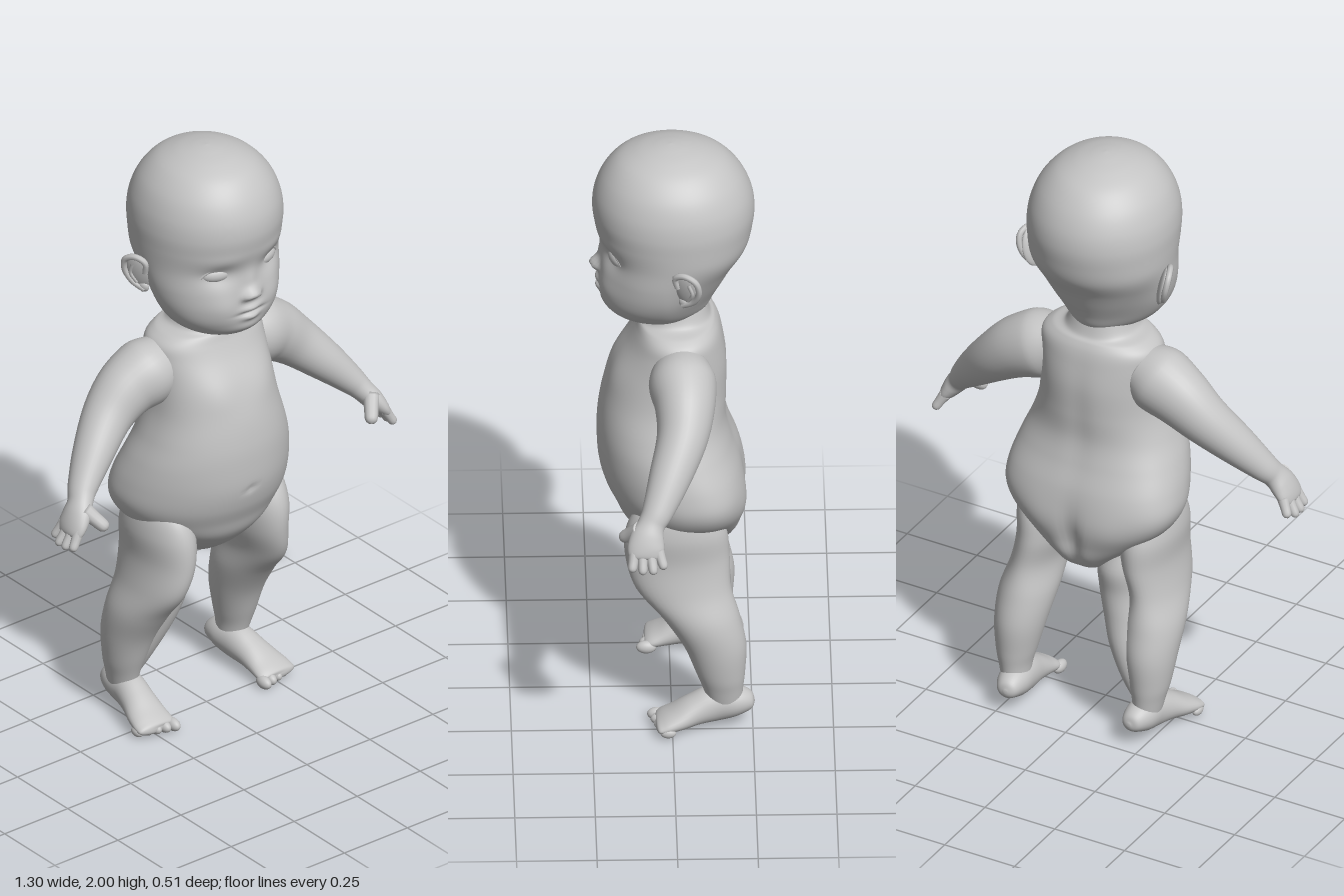
import * as THREE from 'three';

const skin = new THREE.MeshStandardMaterial({ color: 0xc4c4c4 });
skin.name = 'plain grey';
const Y = new THREE.Vector3(0, 1, 0), Z = new THREE.Vector3(0, 0, 1);
const { smoothstep } = THREE.MathUtils;

// Smooth value between rows i and i+1 of a section list
function spline(rows, i, t, k) {
  const at = (j) => rows[Math.min(Math.max(j, 0), rows.length - 1)][k];
  const a = at(i - 1), b = at(i), c = at(i + 1), d = at(i + 2);
  return b + 0.5 * t * (c - a + t * (2 * a - 5 * b + 4 * c - d + t * (3 * (b - c) + d - a)));
}

// Loft through sections [x, y, z, side radius, radius along ref]; rings face axis, or follow the path
function loft(name, rows, { axis = null, ref = Z, n = 2, segs = 32, steps = 6, sculpt = null } = {}) {
  const pos = [], idx = [], rings = [];
  for (let i = 0; i < rows.length - 1; i++)
    for (let s = 0; s < steps; s++) rings.push([0, 1, 2, 3, 4].map((k) => spline(rows, i, s / steps, k)));
  rings.push(rows[rows.length - 1]);
  const centre = (r) => new THREE.Vector3(r[0], r[1], r[2]);
  const power = (c) => Math.sign(c) * Math.abs(c) ** (2 / n);
  const addPoint = (p) => { if (sculpt) sculpt(p); pos.push(p.x, p.y, p.z); };
  rings.forEach((r, i) => {
    const t = axis ? axis.clone() : centre(rings[Math.min(i + 1, rings.length - 1)])
      .sub(centre(rings[Math.max(i - 1, 0)])).normalize();
    const v = ref.clone().addScaledVector(t, -ref.dot(t)).normalize();
    const u = v.clone().cross(t);
    for (let j = 0; j < segs; j++) {
      const a = (j / segs) * Math.PI * 2;
      addPoint(centre(r).addScaledVector(u, power(Math.cos(a)) * Math.max(r[3], 0.001))
        .addScaledVector(v, power(Math.sin(a)) * Math.max(r[4], 0.001)));
    }
    if (i > 0) for (let j = 0; j < segs; j++) {
      const a = (i - 1) * segs + j, b = (i - 1) * segs + (j + 1) % segs;
      idx.push(a, b, b + segs, a, b + segs, a + segs);
    }
  });
  // End caps
  const first = pos.length / 3, last = (rings.length - 1) * segs;
  addPoint(centre(rings[0]));
  addPoint(centre(rings[rings.length - 1]));
  for (let j = 0; j < segs; j++) {
    const k = (j + 1) % segs;
    idx.push(first, k, j, first + 1, last + j, last + k);
  }
  const g = new THREE.BufferGeometry();
  g.setAttribute('position', new THREE.Float32BufferAttribute(pos, 3));
  g.setIndex(idx);
  g.computeVertexNormals();
  return mesh(name, g);
}

function mesh(name, geometry) {
  const m = new THREE.Mesh(geometry, skin);
  m.name = name;
  return m;
}

function ellipsoid(name, p, r) {
  const m = mesh(name, new THREE.SphereGeometry(1, 24, 16));
  m.position.set(...p);
  m.scale.set(...r);
  return m;
}

function tube(name, points, radius) {
  const curve = new THREE.CatmullRomCurve3(points.map((p) => new THREE.Vector3(...p)));
  return mesh(name, new THREE.TubeGeometry(curve, 32, radius, 8));
}

// Soft dents and bumps [x, y, width, height, amount] pushed along z on one side of a form
const bumps = (list, dir) => (p) => {
  const w = smoothstep(p.z * dir, 0.03, 0.12);
  let d = 0;
  for (const [x, y, sx, sy, a] of list) d += a * Math.exp(-(((p.x - x) / sx) ** 2) - ((p.y - y) / sy) ** 2);
  p.z += dir * d * w;
};
const both = (x, ...rest) => [[x, ...rest], [-x, ...rest]];
const flip = (rows, s) => rows.map(([x, ...rest]) => [x * s, ...rest]);

function makeHead() {
  const head = new THREE.Group();
  head.name = 'head';
  const face = bumps([
    [0, 1.57, 0.026, 0.02, 0.03], [0, 1.61, 0.024, 0.04, 0.008], ...both(0.024, 1.562, 0.013, 0.012, 0.012),
    [0, 1.517, 0.036, 0.012, 0.014], [0, 1.502, 0.045, 0.005, -0.009], [0, 1.487, 0.03, 0.012, 0.014],
    [0, 1.445, 0.05, 0.02, 0.006], ...both(0.1, 1.53, 0.06, 0.06, 0.014),
    ...both(0.1, 1.645, 0.05, 0.032, -0.016), ...both(0.1, 1.7, 0.07, 0.025, 0.003),
  ], 1);
  // The nape is narrower than the cheeks
  const nape = (p) => { p.x *= 1 - 0.2 * smoothstep(-p.z, -0.03, 0.12) * (1 - smoothstep(p.y, 1.42, 1.68)); };
  head.add(loft('skull', [
    [0, 1.395, -0.02, 0.07, 0.08], [0, 1.405, 0.03, 0.11, 0.13], [0, 1.43, 0.04, 0.148, 0.16],
    [0, 1.47, 0.04, 0.182, 0.178], [0, 1.52, 0.028, 0.207, 0.192], [0, 1.58, 0.012, 0.222, 0.207],
    [0, 1.65, -0.01, 0.23, 0.228], [0, 1.72, -0.01, 0.235, 0.245], [0, 1.78, -0.008, 0.236, 0.252],
    [0, 1.84, -0.006, 0.226, 0.243], [0, 1.9, -0.004, 0.2, 0.215], [0, 1.95, -0.002, 0.155, 0.17],
    [0, 1.98, 0, 0.1, 0.11], [0, 1.995, 0, 0.045, 0.05], [0, 2, 0, 0.002, 0.002],
  ], { axis: Y, n: 2.04, segs: 128, steps: 10, sculpt: (p) => { face(p); nape(p); } }));
  for (const s of [1, -1]) {
    const eye = ellipsoid('eye', [s * 0.1, 1.645, 0.169], [0.047, 0.025, 0.022]);
    eye.rotation.y = s * 0.4;
    const lid = tube('eyelid', [[0.052, 1.648, 0.194], [0.075, 1.667, 0.191], [0.102, 1.673, 0.182],
      [0.128, 1.664, 0.17], [0.148, 1.642, 0.155]].map(([x, y, z]) => [s * x, y, z]), 0.006);
    // Ear: shallow dish with a rolled rim and an inner fold
    const ear = new THREE.Group();
    ear.name = 'ear';
    ear.position.set(s * 0.236, 1.605, -0.045);
    ear.rotation.set(0, -s * 0.45, -s * 0.22);
    ear.add(ellipsoid('earDish', [-s * 0.005, 0, 0], [0.014, 0.066, 0.042]));
    ear.add(tube('earRim', [[0, -0.062, 0.018], [0, -0.036, -0.022], [0, 0.01, -0.044], [0, 0.05, -0.036],
      [0, 0.066, 0], [0, 0.05, 0.032], [0, 0.01, 0.028]].map(([, y, z]) => [s * 0.004, y, z]), 0.01));
    ear.add(ellipsoid('earLobe', [0, -0.054, 0.014], [0.011, 0.019, 0.018]));
    ear.add(tube('earFold', [[s * 0.006, -0.035, -0.005], [s * 0.008, 0, -0.022], [s * 0.006, 0.035, -0.012]], 0.006));
    head.add(eye, lid, ear);
  }
  return head;
}

function makeTorso() {
  const front = bumps([[0, 0.865, 0.014, 0.012, -0.008], ...both(0.09, 1.2, 0.07, 0.06, 0.008)], 1);
  const back = bumps([[0, 0.68, 0.03, 0.1, -0.02], ...both(0.12, 0.74, 0.08, 0.09, 0.008),
    [0, 1.1, 0.04, 0.2, -0.005]], -1);
  // The hips are widest towards the back, leaving a rounded belly
  const hips = (p) => { p.z -= 0.05 * (p.x / 0.29) ** 2 * Math.exp(-(((p.y - 0.82) / 0.2) ** 2)); };
  return loft('torso', [
    [0, 0.545, -0.06, 0.03, 0.03], [0, 0.57, -0.07, 0.08, 0.1], [0, 0.62, -0.055, 0.135, 0.155],
    [0, 0.68, -0.035, 0.21, 0.188], [0, 0.74, -0.025, 0.268, 0.205], [0, 0.8, -0.01, 0.295, 0.217],
    [0, 0.87, 0.005, 0.291, 0.22], [0, 0.95, 0.02, 0.27, 0.21], [0, 1.03, 0.027, 0.24, 0.2],
    [0, 1.12, 0.018, 0.213, 0.193], [0, 1.22, 0, 0.204, 0.175], [0, 1.3, -0.015, 0.203, 0.148],
    [0, 1.345, -0.02, 0.197, 0.132], [0, 1.372, -0.018, 0.165, 0.12], [0, 1.388, -0.015, 0.12, 0.108],
    [0, 1.43, -0.01, 0.102, 0.1],
  ], { axis: Y, n: 2.2, segs: 96, steps: 8, sculpt: (p) => { front(p); back(p); hips(p); } });
}

function makeArm(s) {
  const arm = new THREE.Group();
  arm.name = s > 0 ? 'leftArm' : 'rightArm';
  arm.add(loft('armAndPalm', flip([
    [0.15, 1.275, -0.03, 0.085, 0.085], [0.21, 1.25, -0.032, 0.11, 0.105], [0.29, 1.213, -0.038, 0.1, 0.094],
    [0.37, 1.15, -0.028, 0.082, 0.08], [0.46, 1.063, 0.012, 0.064, 0.066], [0.53, 0.988, 0.05, 0.046, 0.05],
    [0.558, 0.953, 0.072, 0.037, 0.043], [0.582, 0.922, 0.085, 0.034, 0.053], [0.604, 0.89, 0.09, 0.027, 0.057],
    [0.618, 0.868, 0.09, 0.017, 0.047], [0.622, 0.862, 0.09, 0.004, 0.02],
  ], s)));
  // Four spread fingers and a thumb
  const digit = (name, a, b, r) => {
    const at = (t, k) => [0, 1, 2].map((i) => a[i] + (b[i] - a[i]) * t).concat(r * k, r * k);
    arm.add(loft(name, flip([at(0, 1.2), at(0.45, 1), at(0.8, 0.9), at(0.94, 0.6), at(1, 0.05)], s),
      { segs: 12, steps: 4 }));
  };
  for (let i = 0; i < 4; i++) {
    const reach = [0.012, 0, 0, 0.006][i];
    digit('finger', [0.605, 0.888, 0.052 + i * 0.024], [0.646 - reach, 0.823 + reach, 0.032 + i * 0.034], 0.016);
  }
  digit('thumb', [0.57, 0.942, 0.105], [0.523, 0.882, 0.165], 0.023);
  return arm;
}

function makeLeg(s) {
  const leg = new THREE.Group();
  leg.name = s > 0 ? 'leftLeg' : 'rightLeg';
  // The right leg swings slightly forward below the hip
  const swing = (p) => { if (s < 0) p.z += 0.028 * (1 - smoothstep(p.y, 0.35, 0.7)); };
  leg.add(loft('legBody', flip([
    [0.225, 0.07, -0.165, 0.04, 0.05], [0.23, 0.14, -0.158, 0.05, 0.062], [0.23, 0.2, -0.15, 0.064, 0.076],
    [0.225, 0.3, -0.132, 0.081, 0.098], [0.218, 0.4, -0.09, 0.089, 0.12], [0.206, 0.5, -0.035, 0.077, 0.148],
    [0.186, 0.6, -0.017, 0.082, 0.162], [0.185, 0.7, -0.012, 0.086, 0.156], [0.19, 0.78, -0.01, 0.06, 0.11],
    [0.19, 0.81, -0.01, 0.01, 0.02],
  ], s), { axis: Y, segs: 40, sculpt: swing }));
  // The right leg carries a fuller fold on its inner side
  if (s < 0) leg.add(loft('innerFold', [
    [-0.2, 0.14, -0.155, 0.02, 0.04], [-0.185, 0.22, -0.145, 0.055, 0.07], [-0.157, 0.32, -0.125, 0.075, 0.092],
    [-0.135, 0.42, -0.1, 0.085, 0.1], [-0.12, 0.5, -0.085, 0.088, 0.1], [-0.118, 0.58, -0.08, 0.085, 0.1],
    [-0.13, 0.66, -0.08, 0.05, 0.06],
  ], { axis: Y, sculpt: swing }));
  const foot = new THREE.Group();
  foot.name = 'foot';
  foot.position.z = s < 0 ? 0.026 : 0;
  foot.add(loft('sole', flip([
    [0.213, 0.085, -0.256, 0.006, 0.006], [0.214, 0.085, -0.243, 0.032, 0.03], [0.22, 0.088, -0.195, 0.05, 0.052],
    [0.225, 0.082, -0.13, 0.052, 0.06], [0.235, 0.066, -0.07, 0.056, 0.049], [0.245, 0.046, -0.015, 0.065, 0.036],
    [0.249, 0.034, 0.025, 0.069, 0.026], [0.25, 0.028, 0.046, 0.06, 0.017], [0.25, 0.027, 0.052, 0.01, 0.004],
  ], s), { ref: Y }));
  for (let i = 0; i < 5; i++) {
    const r = 0.021 - i * 0.0012;
    foot.add(ellipsoid('toe', [s * (0.191 + i * 0.029), 0.022, 0.046 - i * 0.008], [r * 0.88, r, r * 1.5]));
  }
  leg.add(foot);
  return leg;
}

export function createModel() {
  const model = new THREE.Group();
  model.name = 'babyDoll';
  model.add(makeHead(), makeTorso());
  for (const s of [1, -1]) model.add(makeArm(s), makeLeg(s));
  return model;
}
